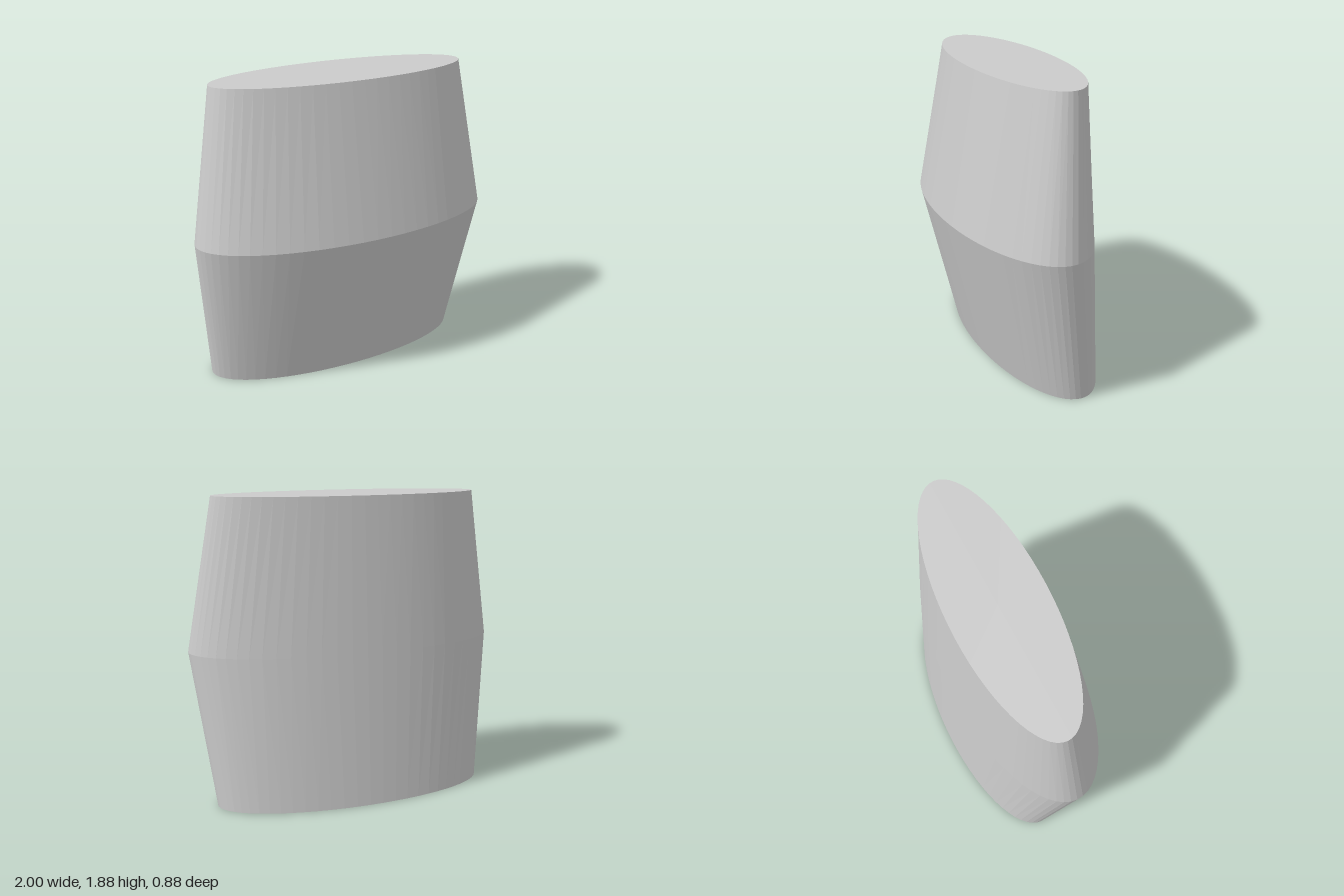
import * as THREE from 'three';

// Elliptical sections from bottom to top: height, half width, back z, front z
const SECTIONS = [
  { y: 0, rx: 0.88, back: -0.44, front: 0.205 },
  { y: 0.945, rx: 1, back: -0.382, front: 0.44 },
  { y: 1.885, rx: 0.852, back: -0.323, front: 0.265 },
];

export function createModel() {
  const group = new THREE.Group();
  group.name = 'torsoBlock';

  // A unit cylinder with one middle ring, each ring moved onto its section
  const geometry = new THREE.CylinderGeometry(1, 1, 2, 64, 2);
  const pos = geometry.attributes.position;
  for (let i = 0; i < pos.count; i++) {
    const s = SECTIONS[Math.round(pos.getY(i)) + 1];
    const centre = (s.front + s.back) / 2;
    const rz = (s.front - s.back) / 2;
    pos.setXYZ(i, pos.getX(i) * s.rx, s.y, centre + pos.getZ(i) * rz);
  }
  geometry.computeVertexNormals();

  const material = new THREE.MeshStandardMaterial({ color: 0xcccccc, flatShading: true });
  const body = new THREE.Mesh(geometry, material);
  body.name = 'body';
  group.add(body);
  return group;
}
